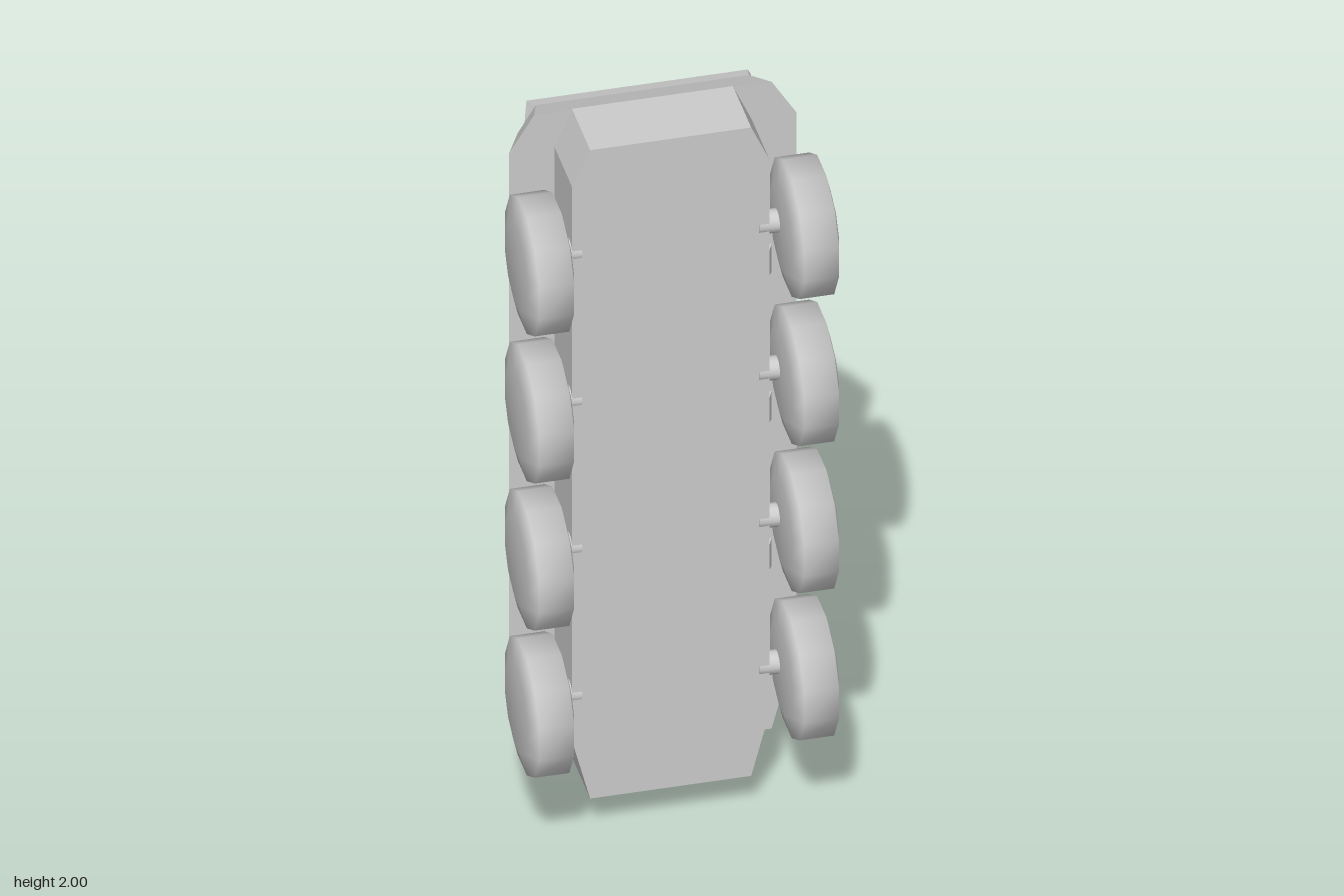
import * as THREE from 'three';
import { toCreasedNormals } from 'three/addons/utils/BufferGeometryUtils.js';
import { ConvexGeometry } from 'three/addons/geometries/ConvexGeometry.js';

// The vehicle stands on its nose: its rear is +y and its roof faces -z.
export function createModel() {
  const model = new THREE.Group();
  const grey = new THREE.MeshStandardMaterial({ color: 0xcccccc });
  grey.name = 'plain grey';

  const add = (name, geometry, x = 0, y = 0, z = 0) => {
    const mesh = new THREE.Mesh(geometry, grey);
    mesh.name = name;
    mesh.position.set(x, y, z);
    model.add(mesh);
    return mesh;
  };
  const box = (name, w, h, d, x, y, z) => add(name, new THREE.BoxGeometry(w, h, d), x, y, z);
  // Faceted solid between two half outlines [x, y], mirrored across x
  const hullSolid = (name, lower, zLower, upper, zUpper) => {
    const points = [];
    for (const [outline, z] of [[lower, zLower], [upper, zUpper]])
      for (const [x, y] of outline)
        for (const s of [-1, 1]) points.push(new THREE.Vector3(s * x, y, z));
    return add(name, new ConvexGeometry(points));
  };
  const cylinder = (rTop, rBottom, h, sides = 16) =>
    toCreasedNormals(new THREE.CylinderGeometry(rTop, rBottom, h, sides), 0.8);

  // Hull
  const belly = [[0.2, 0.105], [0.245, 0.28], [0.245, 1.9], [0.2, 2]];
  hullSolid('lowerHull', belly, 0.187, belly, 0.005);
  hullSolid('upperHull',
    [[0.295, 0.11], [0.357, 0.35], [0.357, 1.9], [0.295, 2]], 0.01,
    [[0.31, 0.72], [0.31, 1.88], [0.265, 1.955]], -0.095);
  hullSolid('engineCover',
    [[0.295, 1.68], [0.295, 1.9], [0.265, 1.95]], -0.09,
    [[0.275, 1.71], [0.275, 1.935]], -0.147);
  box('driverHatch', 0.16, 0.12, 0.02, 0, 0.73, -0.097);

  // Wheels, axles, arch brackets and side plates
  const wheelProfile = [[0, -0.058], [0.115, -0.058], [0.176, -0.043],
    [0.176, 0.043], [0.115, 0.058], [0, 0.058]].map(([r, h]) => new THREE.Vector2(r, h));
  const wheel = toCreasedNormals(
    new THREE.LatheGeometry(wheelProfile, 12).rotateY(Math.PI / 12).rotateZ(Math.PI / 2), 1.45);
  for (const s of [-1, 1]) {
    for (let i = 0; i < 4; i++) {
      const y = 0.41 + i * 0.43;
      add('wheel', wheel, s * 0.329, y, 0.2);
      add('axle', cylinder(0.03, 0.03, 0.06, 12), s * 0.25, y, 0.16).rotation.z = Math.PI / 2;
    }
    for (let i = 0; i < 3; i++) {
      const corners = [];
      for (const [z, half, outer] of [[0.005, 0.042, 0.297], [0.105, 0.018, 0.247]])
        for (const side of [-1, 1])
          for (const x of [0.235, outer]) corners.push(new THREE.Vector3(s * x, side * half, z));
      add('archBracket', new ConvexGeometry(corners), 0, 0.625 + i * 0.43, 0);
    }
    box('sidePlate', 0.03, 0.16, 0.015, s * 0.304, 1.76, -0.096);
  }

  // Turret
  add('turretRing', cylinder(0.225, 0.225, 0.05, 24), 0, 1.125, -0.105).rotation.x = Math.PI / 2;
  hullSolid('turret',
    [[0.14, 0.88], [0.275, 1.03], [0.28, 1.28], [0.25, 1.43], [0.2, 1.54], [0.13, 1.61], [0.05, 1.645]], -0.122,
    [[0.13, 0.905], [0.21, 1.02], [0.215, 1.26], [0.19, 1.39], [0.15, 1.48], [0.1, 1.545], [0.04, 1.575]], -0.287);
  for (const s of [-1, 1])
    add('roofHatch', cylinder(0.067, 0.067, 0.02, 24), s * 0.108, 1.3, -0.292).rotation.x = Math.PI / 2;

  // Smoke tubes angled outward on both turret sides
  for (const s of [-1, 1])
    for (const y of [1.35, 1.4, 1.455]) {
      const tube = add('smokeTube', cylinder(0.011, 0.011, 0.055, 10), s * 0.251, y, -0.231);
      tube.quaternion.setFromUnitVectors(
        new THREE.Vector3(0, 1, 0), new THREE.Vector3(s, 0, -1).normalize());
    }

  // Main gun
  box('mantletPlate', 0.25, 0.05, 0.125, 0, 0.895, -0.212);
  box('mantlet', 0.13, 0.05, 0.085, 0, 0.862, -0.193);
  add('gunBase', cylinder(0.028, 0.024, 0.12), 0, 0.785, -0.193);
  for (const s of [-1, 1])
    add('recoilPin', cylinder(0.008, 0.008, 0.09, 8), s * 0.05, 0.805, -0.193);
  add('gunSleeve', cylinder(0.033, 0.033, 0.11), 0, 0.68, -0.193);
  add('gunBarrel', cylinder(0.024, 0.018, 0.64), 0, 0.32, -0.193);

  // Roof machine gun
  add('gunPost', cylinder(0.005, 0.005, 0.06, 8), -0.141, 1.355, -0.322).rotation.x = Math.PI / 2;
  box('machineGunBody', 0.028, 0.08, 0.023, -0.141, 1.35, -0.361);
  add('machineGunBarrel', cylinder(0.005, 0.005, 0.2, 8), -0.141, 1.22, -0.359);
  return model;
}
